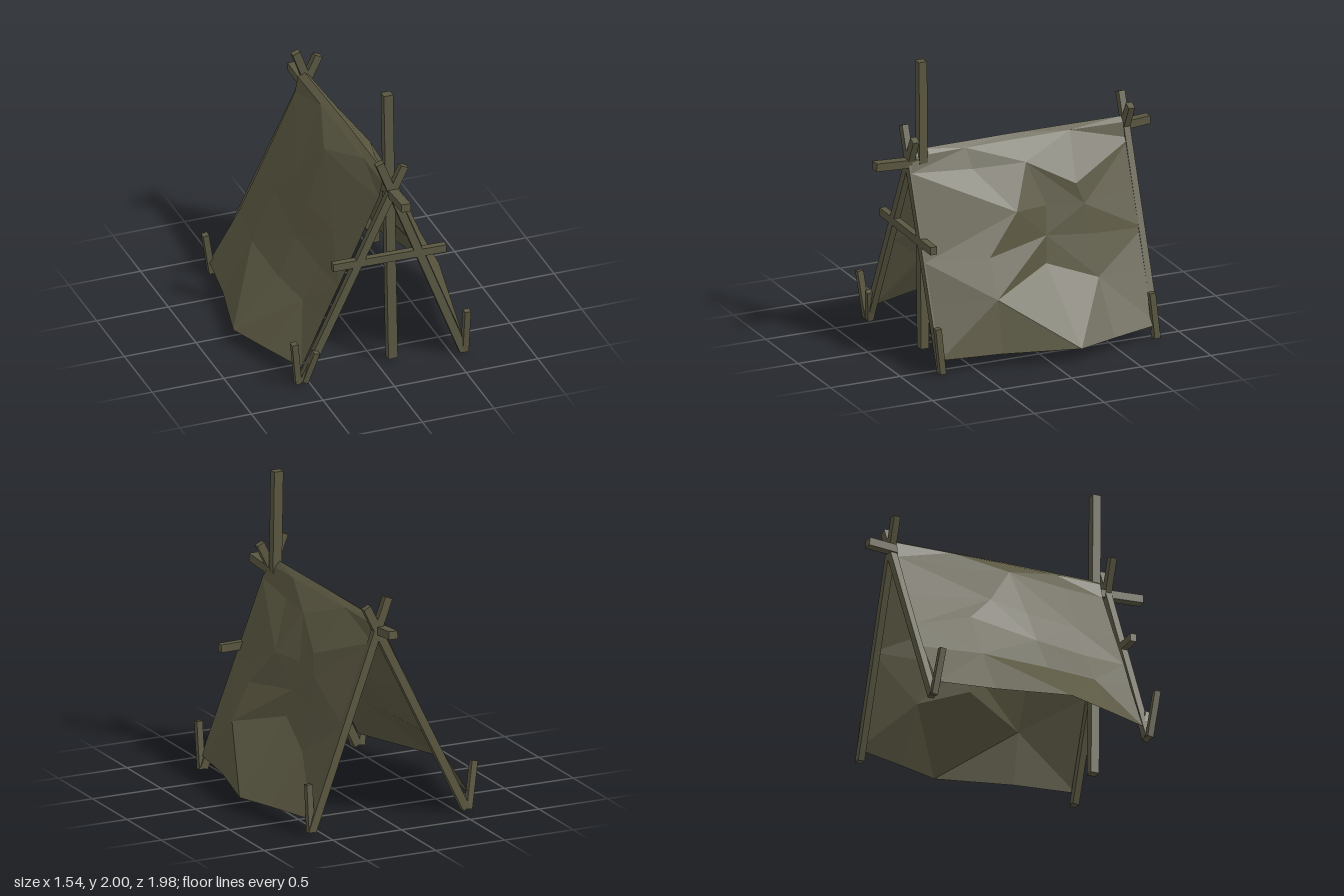
import * as THREE from 'three';

const olive = new THREE.MeshStandardMaterial({ color: 0x595640, flatShading: true, side: THREE.DoubleSide });
olive.name = 'weathered olive';

// Square timber running from point a to point b
function bar(name, a, b, width = 0.055, depth = 0.045) {
  const p = new THREE.Vector3(...a), q = new THREE.Vector3(...b);
  const dir = q.clone().sub(p);
  const mesh = new THREE.Mesh(new THREE.BoxGeometry(width, dir.length(), depth), olive);
  mesh.position.copy(p).add(q).multiplyScalar(0.5);
  mesh.quaternion.setFromUnitVectors(new THREE.Vector3(0, 1, 0), dir.normalize());
  mesh.name = name;
  return mesh;
}

// Cloth side: each column is a list of [x, y, z] points from ridge to hem
function cloth(name, columns, mirrored) {
  const rows = columns[0].length;
  const index = [];
  for (let c = 0; c < columns.length - 1; c++) {
    for (let r = 0; r < rows - 1; r++) {
      const a = c * rows + r, b = a + rows;
      if ((c + r) % 2) index.push(a, a + 1, b, b, a + 1, b + 1);
      else index.push(a, a + 1, b + 1, a, b + 1, b);
    }
  }
  // Wind the faces so that the outer side is the front
  if (mirrored) index.reverse();
  const geo = new THREE.BufferGeometry();
  geo.setAttribute('position', new THREE.Float32BufferAttribute(columns.flat(2), 3));
  geo.setIndex(index);
  geo.computeVertexNormals();
  const mesh = new THREE.Mesh(geo, olive);
  mesh.name = name;
  return mesh;
}

export function createModel() {
  const model = new THREE.Group();
  model.name = 'leanToTent';

  // Tall mast and sagging ridge beam
  model.add(bar('mast', [0.112, 0.02, 0.655], [0.08, 2, 0.655], 0.065, 0.058));
  const sag = [0.075, 1.265, 0];
  model.add(bar('ridgeFront', sag, [0.085, 1.32, 0.99], 0.065, 0.055));
  model.add(bar('ridgeBack', sag, [0.055, 1.336, -0.99], 0.065, 0.055));

  // Crossed legs at each end
  for (const [end, z, dx] of [['front', 0.738, 0], ['back', -0.81, -0.015]]) {
    model.add(bar(end + 'LeftLeg', [0.578 + dx, 0.018, z], [-0.008 - dx, 1.54, z]));
    model.add(bar(end + 'RightLeg', [-0.545 + dx, 0.018, z], [0.165, 1.49, z]));
  }

  // Crossbar over the opening
  model.add(bar('crossbar', [-0.335, 0.83, 0.738], [0.455, 0.817, 0.738], 0.054));

  // Ground pegs
  const pegs = [
    [[-0.575, 0.012, 0.74], [-0.615, 0.33, 0.775]],
    [[-0.53, 0.012, 0.74], [-0.462, 0.235, 0.775]],
    [[0.59, 0.012, 0.74], [0.592, 0.33, 0.775]],
    [[-0.58, 0.012, -0.81], [-0.637, 0.325, -0.775]],
    [[0.568, 0.012, -0.81], [0.566, 0.33, -0.775]],
  ];
  for (const [a, b] of pegs) model.add(bar('peg', a, b, 0.042, 0.042));

  // Sagging cloth on both sides of the ridge, columns from front to back
  model.add(cloth('rightCloth', [
    [[0.075, 1.39, 0.675], [0.04, 1.355, 0.675], [0.015, 1.25, 0.68], [-0.153, 0.9, 0.69], [-0.275, 0.65, 0.7], [-0.375, 0.44, 0.7], [-0.54, 0.1, 0.71]],
    [[0.075, 1.392, 0.35], [0.035, 1.36, 0.35], [-0.035, 1.24, 0.38], [-0.2, 0.88, 0.4], [-0.3, 0.65, 0.4], [-0.42, 0.43, 0.42], [-0.66, 0.1, 0.4]],
    [[0.075, 1.395, 0], [0.03, 1.365, 0], [-0.09, 1.25, -0.04], [-0.235, 0.9, 0.02], [-0.32, 0.68, 0.05], [-0.455, 0.43, 0.07], [-0.775, 0.1, 0.09]],
    [[0.07, 1.392, -0.4], [0.025, 1.365, -0.4], [-0.055, 1.23, -0.35], [-0.22, 0.96, -0.235], [-0.29, 0.77, -0.41], [-0.455, 0.44, -0.4], [-0.66, 0.1, -0.4]],
    [[0.065, 1.388, -0.8], [0.02, 1.36, -0.8], [0.0, 1.25, -0.8], [-0.165, 0.9, -0.8], [-0.287, 0.65, -0.8], [-0.39, 0.44, -0.8], [-0.6, 0.1, -0.8]],
  ]));
  model.add(cloth('leftCloth', [
    [[0.075, 1.39, 0.675], [0.105, 1.35, 0.72], [0.137, 1.25, 0.75], [0.253, 0.95, 0.75], [0.349, 0.7, 0.75], [0.445, 0.45, 0.75], [0.582, 0.1, 0.75]],
    [[0.075, 1.392, 0.35], [0.115, 1.36, 0.35], [0.175, 1.23, 0.33], [0.37, 0.96, 0.1], [0.445, 0.7, 0.33], [0.57, 0.45, 0.33], [0.64, 0.1, 0.33]],
    [[0.075, 1.395, 0], [0.115, 1.365, 0], [0.23, 1.24, -0.03], [0.31, 0.95, -0.14], [0.355, 0.76, -0.12], [0.39, 0.58, -0.1], [0.77, 0.1, -0.18]],
    [[0.07, 1.392, -0.4], [0.11, 1.365, -0.4], [0.315, 1.07, -0.35], [0.34, 0.93, -0.4], [0.375, 0.73, -0.42], [0.45, 0.45, -0.45], [0.675, 0.1, -0.46]],
    [[0.065, 1.388, -0.8], [0.1, 1.355, -0.82], [0.127, 1.25, -0.825], [0.24, 0.95, -0.825], [0.335, 0.7, -0.825], [0.43, 0.45, -0.825], [0.565, 0.1, -0.825]],
  ], true));
  return model;
}
